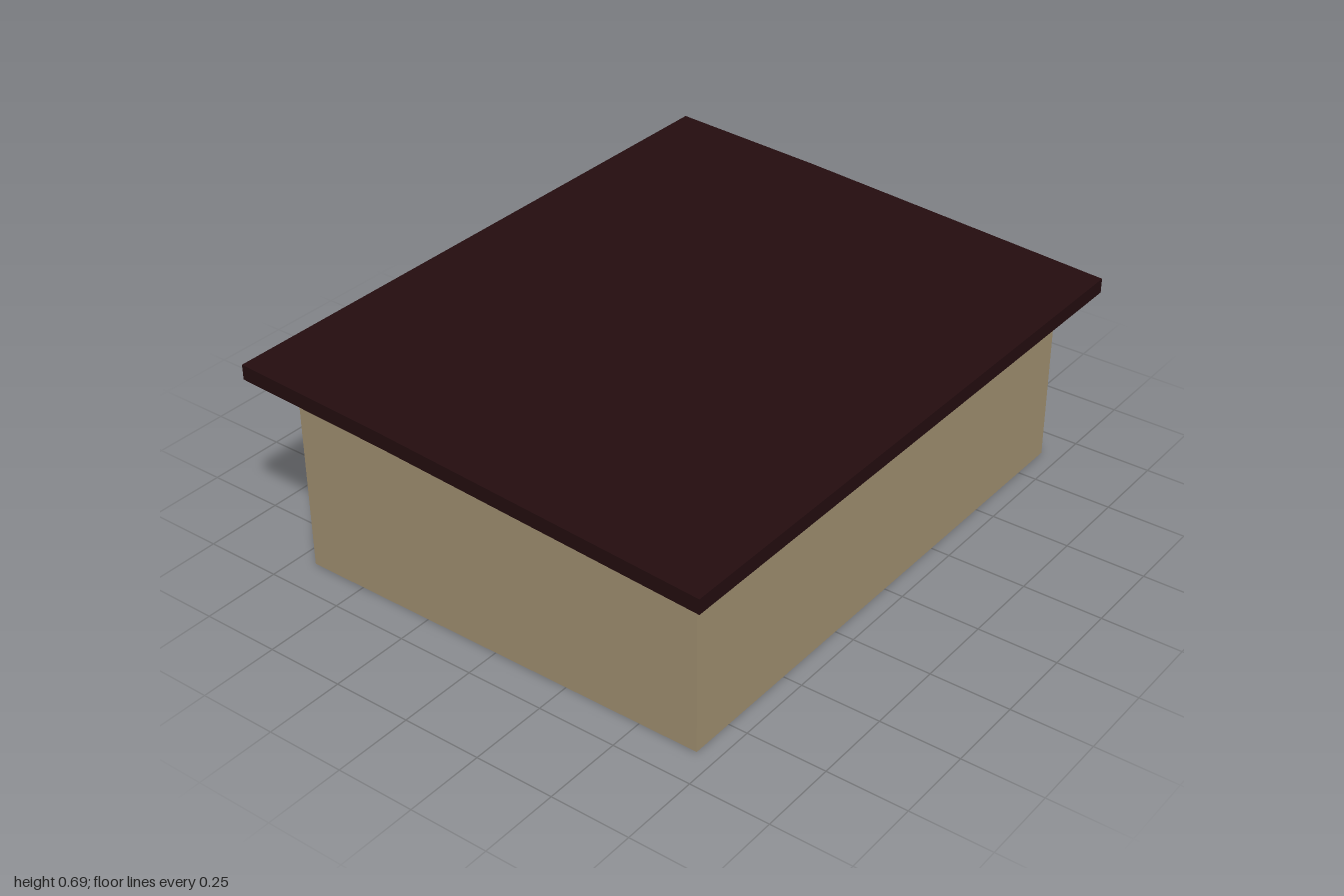
import * as THREE from 'three';

const wallMat = new THREE.MeshStandardMaterial({ color: 0xa39272, side: THREE.DoubleSide });
wallMat.name = 'tanWall';
const trimMat = new THREE.MeshStandardMaterial({ color: 0x240d0f });
trimMat.name = 'darkBrownTrim';
const doorMat = new THREE.MeshStandardMaterial({ color: 0x504241 });
doorMat.name = 'greyBrownDoor';

const W = 0.89, D = 0.69;              // half width and half depth of the walls
// underside of the roof, from front to back, as [z, y]
const under = [[0.78, 0.551], [-0.27, 0.62], [-0.78, 0.645]];
const yAt = (z) => {
  const [a, b] = z > under[1][0] ? [under[0], under[1]] : [under[1], under[2]];
  return a[1] + (b[1] - a[1]) * (z - a[0]) / (b[0] - a[0]);
};
const shapeOf = (pts) => new THREE.Shape(pts.map(([x, y]) => new THREE.Vector2(x, y)));

export function createModel() {
  const model = new THREE.Group();
  const add = (name, geo, mat, parent = model) => {
    const m = new THREE.Mesh(geo, mat);
    m.name = name;
    parent.add(m);
    return m;
  };
  // wall outline with floor-level openings cut out: [from, to, height]
  const wallShape = (start, end, top, openings) => {
    const pts = [[start, 0]];
    for (const [a, b, h] of openings) pts.push([a, 0], [a, h], [b, h], [b, 0]);
    pts.push([end, 0], ...top);
    return new THREE.ShapeGeometry(shapeOf(pts));
  };
  // inverted U surround, front edge at z = 0, running to -depth
  const frameGeo = (width, height, bar, depth) => {
    const h = width / 2, i = h - bar;
    return new THREE.ExtrudeGeometry(
      shapeOf([[-h, 0], [-i, 0], [-i, height - bar], [i, height - bar], [i, 0], [h, 0], [h, height], [-h, height]]),
      { depth, bevelEnabled: false }).translate(0, 0, -depth);
  };

  // floor
  add('floor', new THREE.PlaneGeometry(2 * W, 2 * D).rotateX(-Math.PI / 2), wallMat);

  // front and back walls
  const yF = yAt(D), yB = yAt(-D);
  add('frontWall', wallShape(-W, W, [[W, yF], [-W, yF]], []), wallMat).position.z = D;
  const bays = [[-0.745, -0.005], [0.145, 0.74]];
  const bar = 0.042, bayTop = 0.495;
  add('backWall', wallShape(-W, W, [[W, yB], [-W, yB]],
    bays.map(([a, b]) => [a + bar / 2, b - bar / 2, bayTop - bar / 2])), wallMat).position.z = -D;

  // side walls, drawn with shape x along z
  const sideTop = [[D, yF], [-0.27, yAt(-0.27)], [-D, yB]];
  const doorZ = [-0.493, -0.27], doorTop = 0.493;
  for (const s of [-1, 1]) {
    const cut = s > 0 ? [[doorZ[0] + 0.01, doorZ[1] - 0.01, doorTop - 0.01]] : [];
    const wall = add(s > 0 ? 'leftWall' : 'rightWall', wallShape(-D, D, sideTop, cut).rotateY(-Math.PI / 2), wallMat);
    wall.position.x = s * W;
  }

  // roof slab with a slight bend
  const slab = [...under, ...under.map(([z, y]) => [z, y + 0.047]).reverse()];
  add('roof', new THREE.ExtrudeGeometry(shapeOf(slab), { depth: 2, bevelEnabled: false })
    .rotateY(-Math.PI / 2).translate(1, 0, 0), trimMat);

  // garage bay surrounds on the back
  bays.forEach(([a, b], i) => {
    const frame = add(i ? 'closedBayFrame' : 'openBayFrame', frameGeo(b - a, bayTop, bar, 0.05), trimMat);
    frame.rotation.y = Math.PI;
    frame.position.set((a + b) / 2, 0, -0.699);
  });

  // closed garage door with its handle
  const [ca, cb] = bays[1];
  const garage = new THREE.Group();
  garage.name = 'garageDoor';
  garage.position.set((ca + cb) / 2, 0, -0.65);
  model.add(garage);
  add('doorPanel', new THREE.BoxGeometry(cb - ca - bar, bayTop - bar / 2, 0.012)
    .translate(0, (bayTop - bar / 2) / 2, 0.004), doorMat, garage);
  add('doorHandle', new THREE.BoxGeometry(0.022, 0.012, 0.014).translate(0, 0.045, -0.008), trimMat, garage);

  // side entrance door
  const side = new THREE.Group();
  side.name = 'sideDoor';
  side.rotation.y = Math.PI / 2;
  side.position.set(0.903, 0, (doorZ[0] + doorZ[1]) / 2);
  model.add(side);
  const dw = doorZ[1] - doorZ[0];
  add('sideDoorFrame', frameGeo(dw, doorTop, 0.02, 0.04), trimMat, side);
  add('sideDoorPanel', new THREE.BoxGeometry(dw - 0.02, doorTop - 0.01, 0.012)
    .translate(0, (doorTop - 0.01) / 2, -0.03), trimMat, side);

  return model;
}
